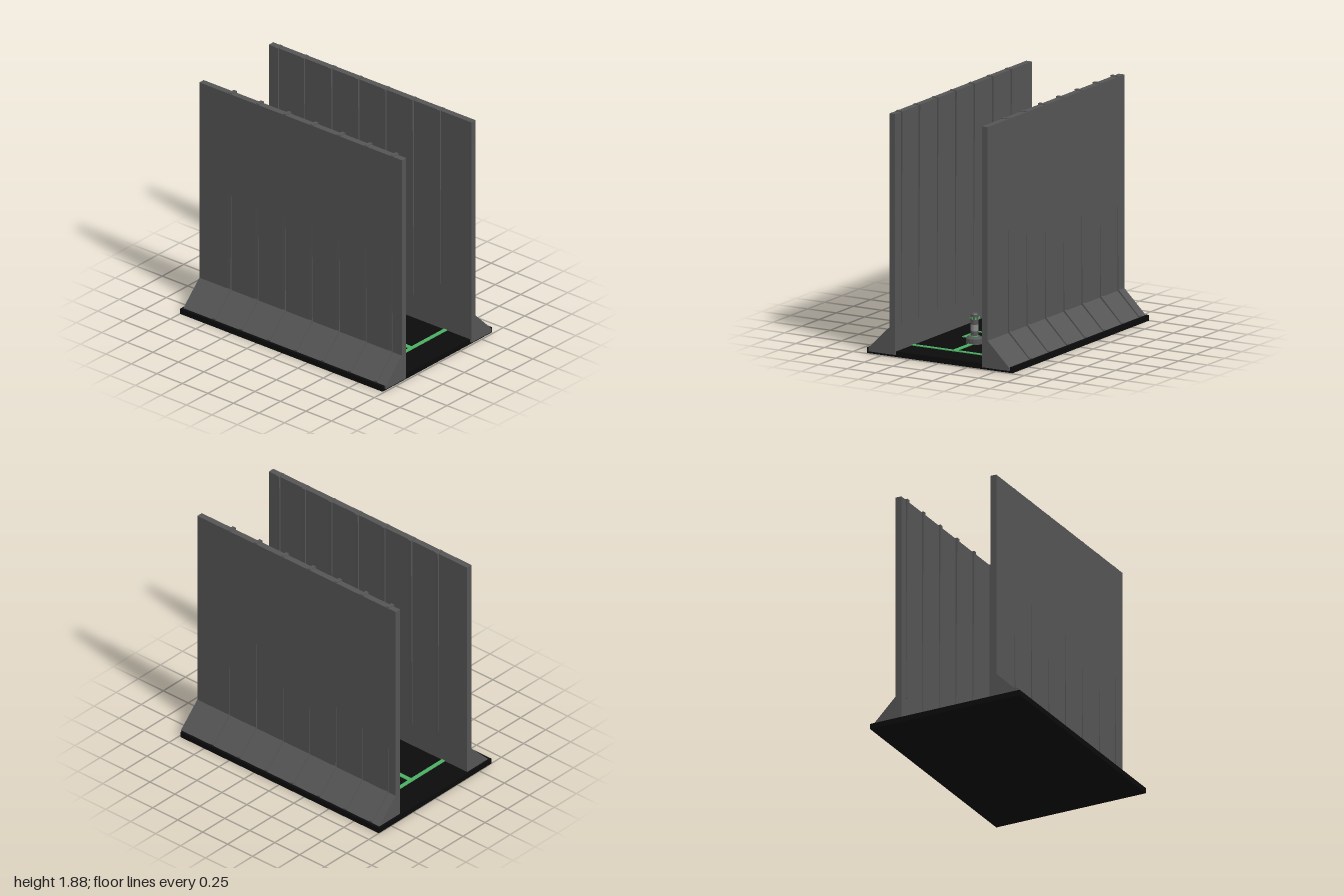
import * as THREE from 'three';

const mat = (color) => new THREE.MeshStandardMaterial({ color, flatShading: true });
const concrete = mat(0x555555);
const black = mat(0x0b0b0b);
const green = mat(0x4caf63);
const steel = mat(0x8a8a8a);

function add(parent, name, geometry, material, x = 0, y = 0, z = 0) {
  const mesh = new THREE.Mesh(geometry, material);
  mesh.name = name;
  mesh.position.set(x, y, z);
  parent.add(mesh);
  return mesh;
}

// Extrudes a [z, y] outline along x, centred on x = 0
function profile(points, width) {
  const shape = new THREE.Shape(points.map(([z, y]) => new THREE.Vector2(-z, y)));
  const geometry = new THREE.ExtrudeGeometry(shape, { depth: width, bevelEnabled: false });
  geometry.translate(0, 0, -width / 2);
  return geometry.rotateY(Math.PI / 2);
}

// Tall slab with a flared foot and thin tapering ribs
function createWall(name, shift) {
  const wall = new THREE.Group();
  wall.name = name;
  const slab = profile([
    [0.38, 0.018], [0.615, 0.018], [0.615, 0.045], [0.43, 0.228], [0.43, 1.875], [0.38, 1.875],
  ], 1.985);
  add(wall, 'wallSlab', slab, concrete, shift);
  const rib = profile([
    [0.385, 0.03], [0.61, 0.03], [0.617, 0.055], [0.439, 0.238], [0.43, 1.03],
    [0.426, 1.881], [0.366, 1.881], [0.378, 0.235], [0.385, 0.235],
  ], 0.03);
  for (const x of [0.9, 0.644, 0.378, 0.114, -0.152, -0.42, -0.687]) {
    add(wall, 'wallRib', rib, concrete, x);
  }
  return wall;
}

// Short post on an octagonal foot with a lit collar
function createPost(x) {
  const post = new THREE.Group();
  post.name = 'lightPost';
  post.position.set(x, 0, 0.016);
  const ring = (name, top, bottom, y0, y1, material, sides = 16) =>
    add(post, name, new THREE.CylinderGeometry(top, bottom, y1 - y0, sides), material, 0, (y0 + y1) / 2);
  ring('postFoot', 0.065, 0.065, 0.043, 0.085, concrete);
  ring('postFootBevel', 0.045, 0.065, 0.085, 0.097, concrete);
  ring('lowerGlow', 0.031, 0.031, 0.097, 0.105, green);
  ring('postShaft', 0.03, 0.03, 0.105, 0.14, concrete);
  ring('postBand', 0.03, 0.03, 0.14, 0.19, steel);
  ring('postNeck', 0.03, 0.03, 0.19, 0.265, concrete);
  ring('postCap', 0.022, 0.03, 0.265, 0.275, concrete);
  ring('collar', 0.034, 0.034, 0.225, 0.255, concrete);
  // Small lamps around the collar
  for (let i = 0; i < 8; i++) {
    const a = (i * Math.PI) / 4;
    const lamp = add(post, 'collarLamp', new THREE.BoxGeometry(0.012, 0.018, 0.008), green,
      Math.sin(a) * 0.034, 0.24, Math.cos(a) * 0.034);
    lamp.rotation.y = a;
  }
  return post;
}

export function createModel() {
  const model = new THREE.Group();
  model.name = 'walledTrench';

  add(model, 'basePlate', new THREE.BoxGeometry(1.985, 0.043, 1.275), black, -0.0075, 0.0215, 0);

  model.add(createWall('frontWall', 0.0075));
  const back = createWall('backWall', -0.0075);
  back.rotation.y = Math.PI;
  model.add(back);

  // Green floor lines
  const strip = (name, x0, x1, z0, z1) => add(model, name,
    new THREE.BoxGeometry(x1 - x0, 0.008, z1 - z0), green, (x0 + x1) / 2, 0.045, (z0 + z1) / 2);
  for (const s of [-1, 1]) {
    const x = s * 0.747;
    strip('crossLine', x - 0.016, x + 0.016, -0.385, 0.385);
    // Rectangular loop
    const c = s * 0.228;
    for (const e of [-1, 1]) {
      strip('loopSide', c + e * 0.097 - 0.01, c + e * 0.097 + 0.01, -0.172, 0.197);
      const z = 0.0125 + e * 0.1745;
      strip('loopEnd', c - 0.087, c + 0.087, z - 0.01, z + 0.01);
    }
  }
  for (const [a, b] of [[-0.731, -0.335], [-0.121, 0.121], [0.335, 0.731]]) {
    strip('centreLine', a, b, -0.003, 0.033);
  }

  for (const x of [-0.45, 0, 0.45]) model.add(createPost(x));
  return model;
}
